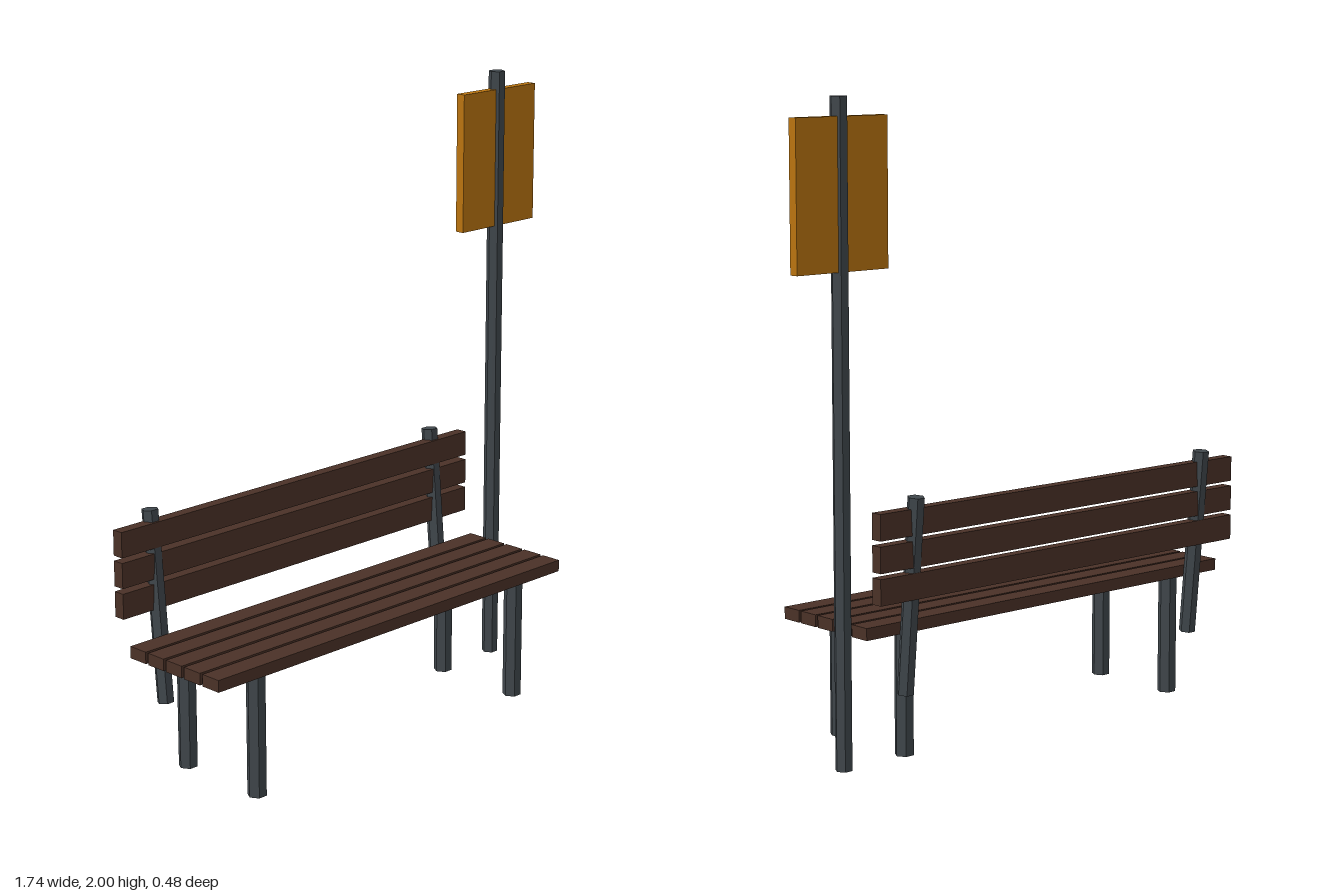
import * as THREE from 'three';

export function createModel() {
  const model = new THREE.Group();
  model.name = 'benchWithSign';

  const material = (name, color) => {
    const m = new THREE.MeshStandardMaterial({ color });
    m.name = name;
    return m;
  };
  const wood = material('darkWood', 0x4a3127);
  const steel = material('greySteel', 0x40474c);
  const amber = material('amberPanel', 0xb9730f);

  const box = (name, mat, size, pos) => {
    const mesh = new THREE.Mesh(new THREE.BoxGeometry(...size), mat);
    mesh.name = name;
    mesh.position.set(...pos);
    model.add(mesh);
  };

  // Faceted hexagonal tube between two points, corners facing left and right
  const tube = (name, radius, from, to) => {
    const a = new THREE.Vector3(...from), b = new THREE.Vector3(...to);
    const dir = b.clone().sub(a);
    const geo = new THREE.CylinderGeometry(radius, radius, dir.length(), 6)
      .rotateY(Math.PI / 6).toNonIndexed();
    geo.computeVertexNormals();
    const mesh = new THREE.Mesh(geo, steel);
    mesh.name = name;
    mesh.position.copy(a).add(b).multiplyScalar(0.5);
    mesh.quaternion.setFromUnitVectors(new THREE.Vector3(0, 1, 0), dir.normalize());
    model.add(mesh);
  };

  const benchX = -0.118, benchWidth = 1.508;

  // Seat slats
  for (let i = 0; i < 5; i++) {
    box('seatSlat', wood, [benchWidth, 0.038, 0.07], [benchX, 0.41, 0.205 - i * 0.0812]);
  }

  // Backrest slats
  for (let i = 0; i < 3; i++) {
    box('backSlat', wood, [benchWidth, 0.081, 0.038], [benchX, 0.547 + i * 0.0975, -0.202]);
  }

  // Legs and leaning backrest posts at both ends
  for (const side of [-1, 1]) {
    const legX = benchX + side * 0.572;
    tube('frontLeg', 0.0305, [legX, 0, 0.202], [legX, 0.392, 0.202]);
    tube('rearLeg', 0.0305, [legX, 0, -0.11], [legX, 0.392, -0.11]);
    const postX = benchX + side * 0.612;
    tube('backPost', 0.027, [postX, 0.207, -0.163], [postX, 0.817, -0.217]);
  }

  // Sign pole and panel
  tube('signPole', 0.027, [0.698, 0, -0.119], [0.698, 2, -0.119]);
  box('signPanel', amber, [0.34, 0.45, 0.031], [0.698, 1.717, -0.12]);

  return model;
}
